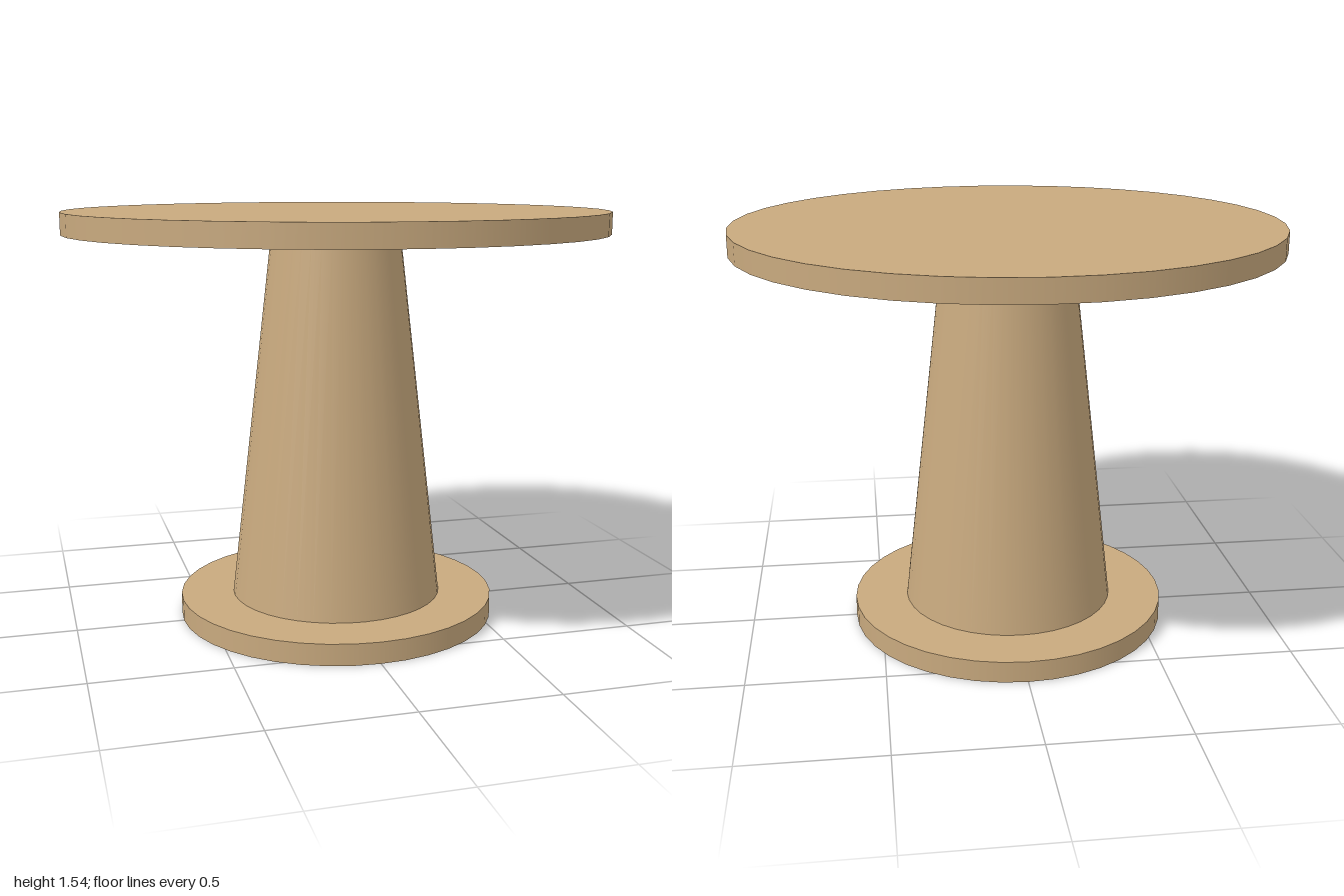
import * as THREE from 'three';

export function createModel() {
  const group = new THREE.Group();
  const wood = new THREE.MeshStandardMaterial({ color: 0xc8a97e });

  // Each part is a round section standing between two heights
  function addRound(name, radiusTop, radiusBottom, y0, y1) {
    const geometry = new THREE.CylinderGeometry(radiusTop, radiusBottom, y1 - y0, 40);
    const mesh = new THREE.Mesh(geometry, wood);
    mesh.name = name;
    mesh.position.y = (y0 + y1) / 2;
    group.add(mesh);
  }

  addRound('base', 0.6, 0.6, 0, 0.08);
  addRound('pedestal', 0.24, 0.4, 0.08, 1.46);
  addRound('tableTop', 1, 1, 1.46, 1.54);

  return group;
}
